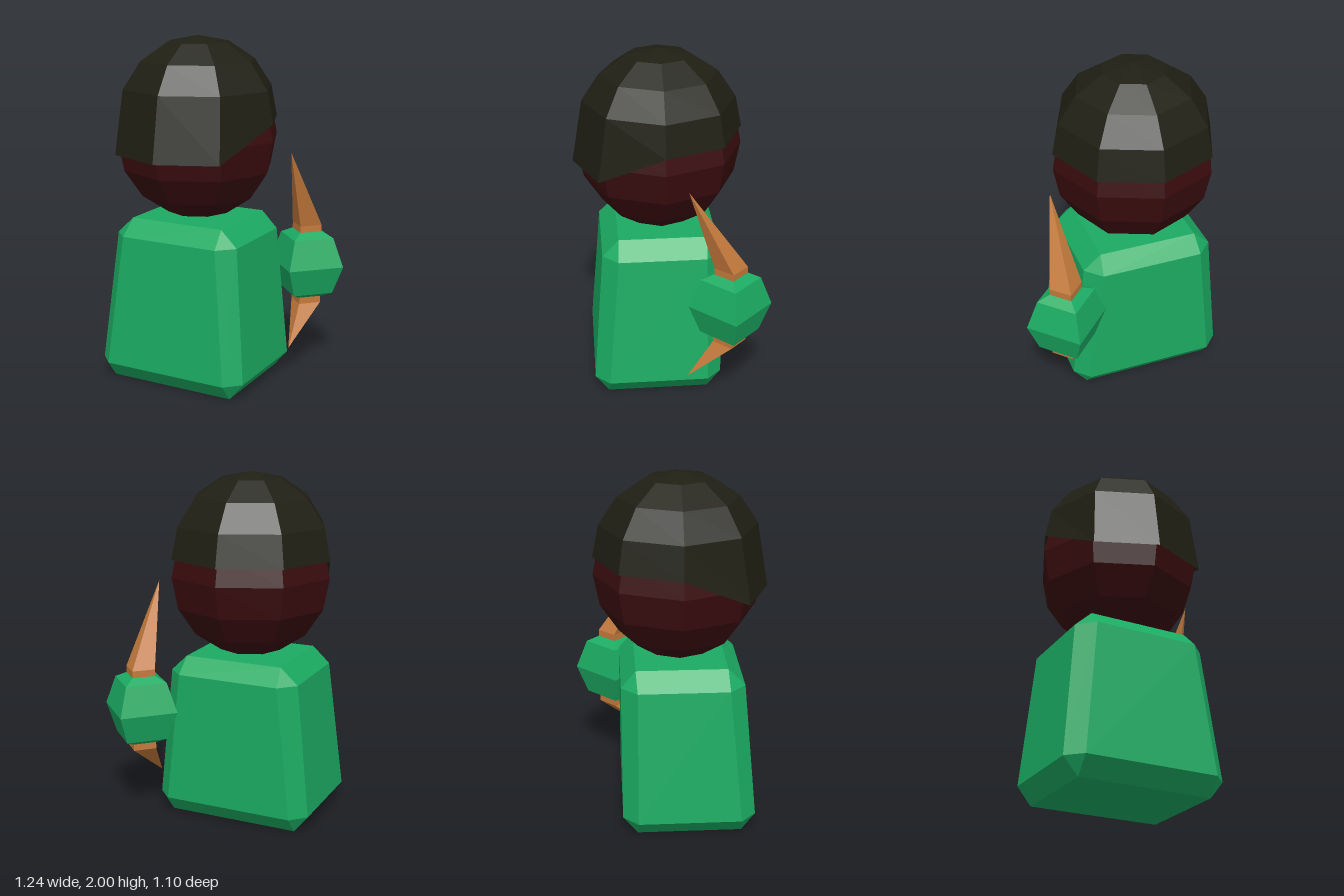
import * as THREE from 'three';

const material = (color) => new THREE.MeshStandardMaterial({ color, flatShading: true });
const green = material(0x1bab62);
const orange = material(0xc47a3c);
const skin = material(0x3a0c0e);
const hairMat = material(0x1f1f14);
hairMat.side = THREE.DoubleSide;

// Joins equal-length rings of Vector3 (listed bottom to top) and caps both ends.
function loft(rings) {
  const pos = [];
  const tri = (a, b, c) => {
    if (new THREE.Triangle(a, b, c).getArea() < 1e-7) return;
    for (const p of [a, b, c]) pos.push(p.x, p.y, p.z);
  };
  const n = rings[0].length;
  for (let r = 0; r < rings.length - 1; r++) {
    const lo = rings[r], up = rings[r + 1];
    for (let i = 0; i < n; i++) {
      const j = (i + 1) % n;
      tri(lo[i], up[i], lo[j]);
      tri(lo[j], up[i], up[j]);
    }
  }
  const bottom = rings[0], top = rings[rings.length - 1];
  for (let i = 1; i < n - 1; i++) {
    tri(bottom[0], bottom[i], bottom[i + 1]);
    tri(top[0], top[i + 1], top[i]);
  }
  const g = new THREE.BufferGeometry();
  g.setAttribute('position', new THREE.Float32BufferAttribute(pos, 3));
  g.computeVertexNormals();
  return g;
}

// Rectangle with corners cut by c; c = 0 doubles the corner points.
function cutRect(y, halfX, zBack, zFront, c) {
  const v = (x, z) => new THREE.Vector3(x, y, z);
  return [
    v(halfX, zBack + c), v(halfX, zFront - c), v(halfX - c, zFront), v(c - halfX, zFront),
    v(-halfX, zFront - c), v(-halfX, zBack + c), v(c - halfX, zBack), v(halfX - c, zBack),
  ];
}

// Four-cornered ring with points on the x and z axes.
function diamond(y, r, z = 0) {
  return [[r, 0], [0, r], [-r, 0], [0, -r]].map(([dx, dz]) => new THREE.Vector3(dx, y, z + dz));
}

function add(parent, name, geometry, mat) {
  const mesh = new THREE.Mesh(geometry, mat);
  mesh.name = name;
  parent.add(mesh);
  return mesh;
}

export function createModel() {
  const model = new THREE.Group();
  model.name = 'figure';
  const R = 0.475;

  // Tapered body with bevelled edges and an upright back
  add(model, 'body', loft([
    cutRect(0, 0.385, -0.205, 0.385, 0),
    cutRect(0.1, 0.467, -0.287, 0.464, 0.085),
    cutRect(0.865, 0.39, -0.287, 0.4, 0.09),
    cutRect(0.96, 0.29, -0.205, 0.305, 0),
  ]), green).position.x = -0.15;

  // Head
  add(model, 'head', new THREE.SphereGeometry(R, 8, 8), skin).position.set(-0.148, 1.425, 0.047);

  // Hair: half sphere whose front rim is pulled down and forward
  const hair = new THREE.SphereGeometry(R, 8, 4, 0, Math.PI * 2, 0, Math.PI / 2);
  const p = hair.attributes.position;
  for (let i = 0; i < p.count; i++) {
    if (Math.abs(p.getY(i)) < 0.01 && p.getZ(i) > 0.1) {
      p.setY(i, -0.183);
      p.setZ(i, p.getZ(i) + 0.026);
    }
  }
  hair.computeVertexNormals();
  add(model, 'hair', hair, hairMat).position.set(-0.148, 1.525, 0.047);

  // Hand with a spike through it, both tips bending forward
  const hand = new THREE.Group();
  hand.name = 'handWithSpike';
  hand.position.set(0.385, 0, -0.312);
  model.add(hand);
  add(hand, 'hand', loft([
    diamond(0.447, 0.095), diamond(0.478, 0.17), diamond(0.645, 0.237),
    diamond(0.815, 0.17), diamond(0.848, 0.095),
  ]), green);
  add(hand, 'upperSpike', loft([
    diamond(0.84, 0.094), diamond(0.887, 0.094), diamond(1.355, 0, 0.24),
  ]), orange);
  add(hand, 'lowerSpike', loft([
    diamond(0.178, 0, 0.24), diamond(0.408, 0.094), diamond(0.455, 0.094),
  ]), orange);

  return model;
}
